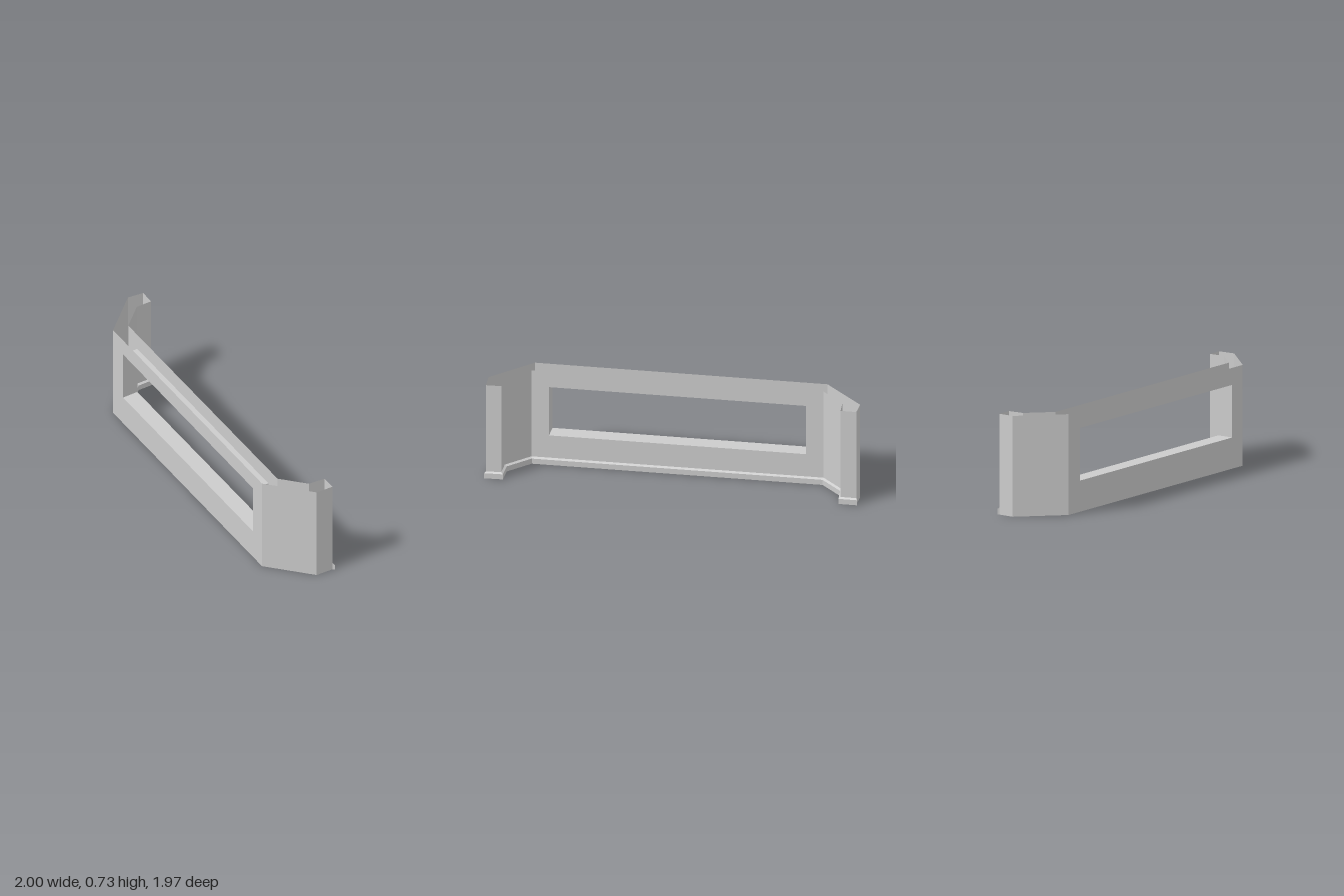
import * as THREE from 'three';

const H = 0.728;                        // overall height
const LIP = 0.05, LIP_EDGE = 0.04;      // where the bottom lip starts and where its slope ends
const WIN = [0.225, 0.605];             // window sill and head heights

// Plan points [x, z], ordered so that the faces look outwards
const outer = [[-0.91, -0.97], [-1, -0.89], [-1, -0.49], [0.49, 0.985], [0.89, 0.985], [0.98, 0.89]];
const inner = [[0.98, 0.89], [0.9, 0.815], [0.81, 0.9], [0.58, 0.9],
  [-0.91, -0.57], [-0.91, -0.8], [-0.83, -0.89], [-0.91, -0.97]];
const lip = [[0.998, 0.89], [0.9, 0.797], [0.803, 0.885], [0.587, 0.885],
  [-0.895, -0.577], [-0.895, -0.795], [-0.812, -0.89], [-0.907, -0.985]];
const frontX = [-0.9, 0.4], backX = [-0.82, 0.49];

const material = new THREE.MeshStandardMaterial({ color: 0xcccccc, flatShading: true, side: THREE.DoubleSide });

function addMesh(group, name, geometry) {
  const mesh = new THREE.Mesh(geometry, material);
  mesh.name = name;
  group.add(mesh);
}

const atHeight = (plan, y) => plan.map(([x, z]) => [x, y, z]);

// Flat-faced band between consecutive rows of 3D points
function band(...rows) {
  const pos = [];
  for (let r = 0; r < rows.length - 1; r++) {
    const a = rows[r], b = rows[r + 1];
    for (let i = 0; i < a.length - 1; i++) {
      pos.push(...a[i], ...a[i + 1], ...b[i + 1], ...a[i], ...b[i + 1], ...b[i]);
    }
  }
  const g = new THREE.BufferGeometry();
  g.setAttribute('position', new THREE.Float32BufferAttribute(pos, 3));
  g.computeVertexNormals();
  return g;
}

// z on the straight line through two plan points
const zOn = ([x0, z0], [x1, z1]) => (x) => z0 + (z1 - z0) * (x - x0) / (x1 - x0);
const frontZ = zOn(outer[2], outer[3]);
const backZ = zOn(inner[4], inner[3]);

// Rectangle outline, also used for the window openings
const rect = ([x0, x1], [y0, y1]) => [[x0, y0], [x1, y0], [x1, y1], [x0, y1], [x0, y0]];

// Upright panel with a window, drawn in x and y and then slanted in z
function windowPanel(xs, y0, winX, zAt, flip) {
  const vec = (pts) => pts.map(([x, y]) => new THREE.Vector2(x, y));
  const shape = new THREE.Shape(vec(rect(xs, [y0, H])));
  shape.holes.push(new THREE.Path(vec(rect(winX, WIN))));
  const g = new THREE.ShapeGeometry(shape);
  const p = g.attributes.position;
  for (let i = 0; i < p.count; i++) p.setZ(i, zAt(p.getX(i)));
  if (flip) g.index.array.reverse();
  g.computeVertexNormals();
  return g;
}

export function createModel() {
  const group = new THREE.Group();
  group.name = 'cornerPanelShell';

  // Outer skin: window panel and a folded end on each side
  addMesh(group, 'outerWindowPanel', windowPanel([outer[2][0], outer[3][0]], 0, frontX, frontZ, false));
  for (const [name, pts] of [['outerRightEnd', outer.slice(0, 3)], ['outerLeftEnd', outer.slice(3)]]) {
    addMesh(group, name, band(atHeight(pts, 0), atHeight(pts, H)));
  }

  // Inner skin: window panel and a zigzag end on each side, above the lip
  addMesh(group, 'innerWindowPanel', windowPanel([inner[4][0], inner[3][0]], LIP, backX, backZ, true));
  for (const [name, pts] of [['innerLeftEnd', inner.slice(0, 4)], ['innerRightEnd', inner.slice(4)]]) {
    addMesh(group, name, band(atHeight(pts, LIP), atHeight(pts, H)));
  }

  // Bottom lip: sloped ledge and short upright, returning to the skin at both ends
  const first = inner[0], last = inner[inner.length - 1];
  const root = [first, ...inner, last], edge = [first, ...lip, last];
  addMesh(group, 'bottomLip', band(atHeight(edge, 0), atHeight(edge, LIP_EDGE), atHeight(root, LIP)));

  // Window reveal joining the two skins
  const opening = (xs, zAt) => rect(xs, WIN).map(([x, y]) => [x, y, zAt(x)]);
  addMesh(group, 'windowReveal', band(opening(frontX, frontZ), opening(backX, backZ)));

  return group;
}
